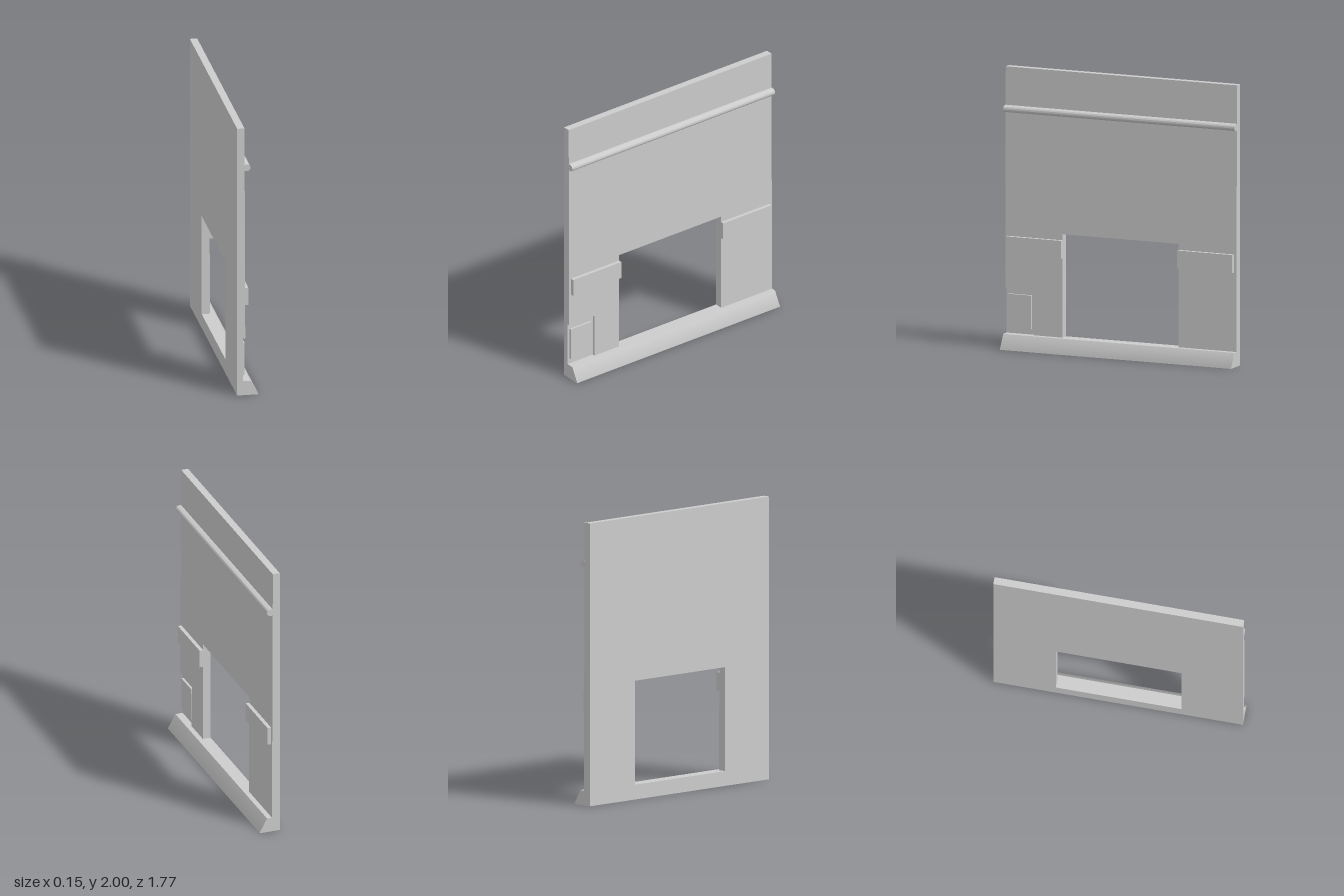
import * as THREE from 'three';
import { toCreasedNormals } from 'three/addons/utils/BufferGeometryUtils.js';

const HALF = 0.887;      // half length of the panel along z
const BACK = -0.077;     // rear face of the panel
const RECESS = -0.037;   // floor of the corner recess
const BASE = 0.105;      // top of the plinth
const material = new THREE.MeshStandardMaterial({ color: 0xcccccc });

// front face leans back slightly towards the top
const frontAt = (y) => -0.018 - 0.0035 * y;

export function createModel() {
  const group = new THREE.Group();

  const add = (name, geometry) => {
    const mesh = new THREE.Mesh(geometry, material);
    mesh.name = name;
    group.add(mesh);
  };

  // outline given as [z, y], extruded along x from x0 to x1
  const slab = (points, hole, x0, x1) => {
    const toPoints = (list) => list.map(([z, y]) => new THREE.Vector2(-z, y));
    const shape = new THREE.Shape(toPoints(points));
    if (hole) shape.holes.push(new THREE.Path(toPoints(hole)));
    return new THREE.ExtrudeGeometry(shape, { depth: x1 - x0, bevelEnabled: false })
      .rotateY(Math.PI / 2).translate(x0, 0, 0);
  };

  // cross-section in x and y, run along the full length
  const run = (shape) => toCreasedNormals(
    new THREE.ExtrudeGeometry(shape, { depth: 2 * HALF, bevelEnabled: false, curveSegments: 16 })
      .translate(0, 0, -HALF), 0.6);

  const box = (x0, x1, y0, y1, z0, z1) =>
    new THREE.BoxGeometry(x1 - x0, y1 - y0, z1 - z0)
      .translate((x0 + x1) / 2, (y0 + y1) / 2, (z0 + z1) / 2);

  // wall: rear layer, and front layer notched for the corner recess
  const opening = [[0.45, BASE], [0.45, 0.84], [-0.442, 0.84], [-0.442, BASE]];
  add('wallBack', slab([[HALF, 0], [-HALF, 0], [-HALF, 2], [HALF, 2]], opening, BACK, RECESS));

  const front = slab([
    [0.667, 0], [-HALF, 0], [-HALF, 2], [HALF, 2], [HALF, 0.425], [0.667, 0.425],
  ], opening, RECESS, 0);
  const pos = front.attributes.position;
  for (let i = 0; i < pos.count; i++) {
    if (pos.getX(i) > RECESS / 2) pos.setX(i, frontAt(pos.getY(i)));
  }
  front.computeVertexNormals();
  add('wallFront', front);

  // raised panel inside the recess
  add('recessPanel', box(RECESS, -0.021, 0.145, 0.385, 0.69, 0.87));

  // sloping plinth
  add('plinth', run(new THREE.Shape([
    [BACK, 0], [0.072, 0], [0.072, 0.008], [0.018, BASE], [BACK, BASE],
  ].map(([x, y]) => new THREE.Vector2(x, y)))));

  // round-nosed rail
  const rail = new THREE.Shape();
  rail.moveTo(-0.04, 1.679);
  rail.lineTo(-0.006, 1.679);
  rail.absarc(-0.006, 1.703, 0.024, -Math.PI / 2, Math.PI / 2, false);
  rail.lineTo(-0.04, 1.727);
  add('rail', run(rail));

  // band blocks either side of the opening
  add('leftBand', box(-0.03, 0.006, 0.668, 0.797, 0.45, 0.87));
  add('rightBand', box(-0.03, 0.006, 0.668, 0.797, -0.865, -0.442));

  return group;
}
